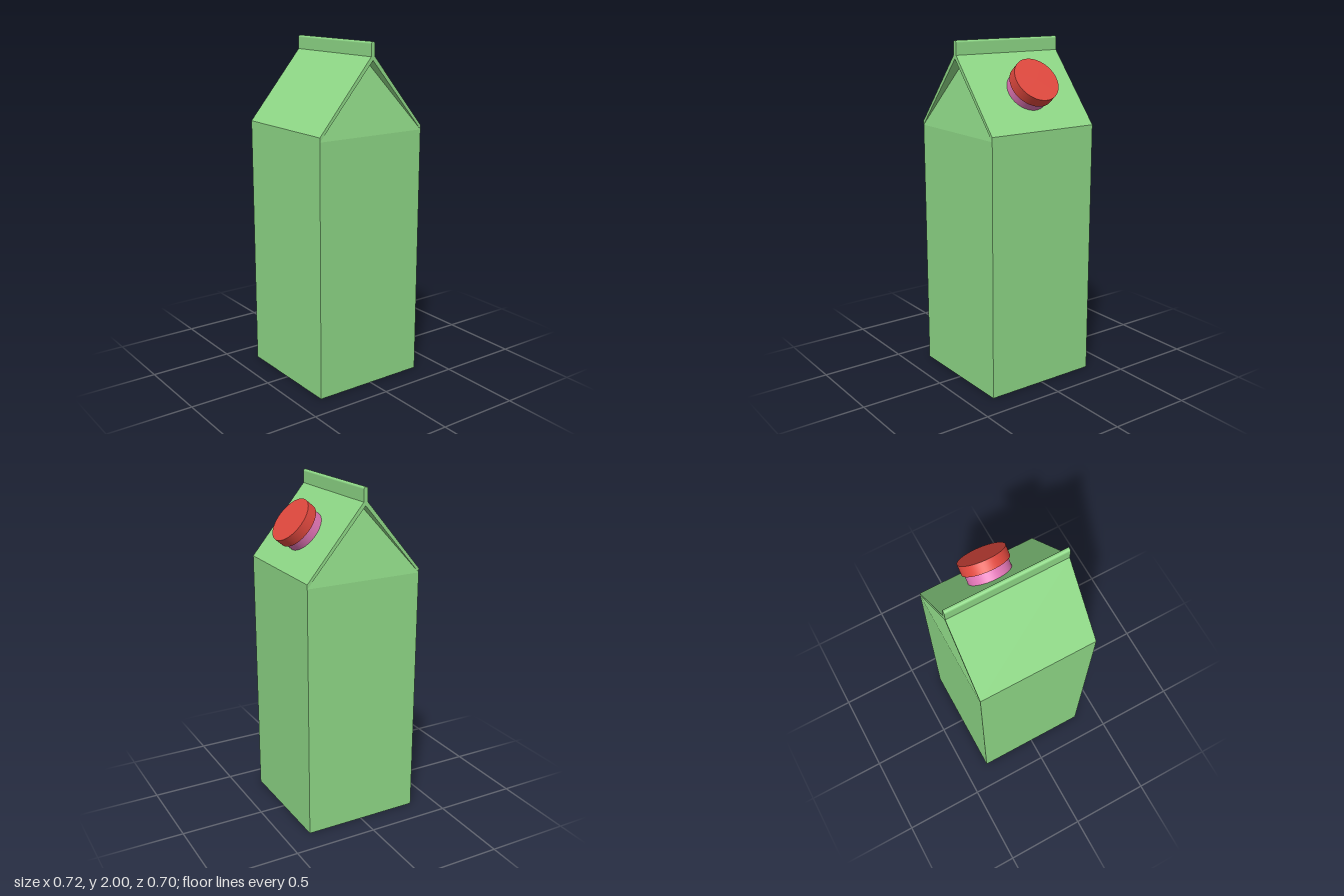
import * as THREE from 'three';

const HALF = 0.352;      // half width and depth of the carton
const EAVE = 1.515;      // outer eave height
const GABLE = 1.49;      // height where the gable ends begin
const RIDGE = 1.92;      // foot of the top seal
const FIN = 0.0125;      // half thickness of the top seal

const material = (color, side = THREE.FrontSide) => new THREE.MeshStandardMaterial({ color, side });

function part(name, geometry, mat) {
  const mesh = new THREE.Mesh(geometry, mat);
  mesh.name = name;
  return mesh;
}

// Folded roof panels and rounded top seal, one profile running front to back
function roofGeometry() {
  const s = new THREE.Shape();
  s.moveTo(-HALF, GABLE);
  s.lineTo(0, 1.9);
  s.lineTo(HALF, GABLE);
  s.lineTo(HALF, EAVE);
  s.lineTo(FIN, RIDGE);
  s.lineTo(FIN, 2 - FIN);
  s.absarc(0, 2 - FIN, FIN, 0, Math.PI, false);
  s.lineTo(-FIN, RIDGE);
  s.lineTo(-HALF, EAVE);
  s.closePath();
  return new THREE.ExtrudeGeometry(s, { depth: 2 * HALF, bevelEnabled: false, curveSegments: 16 })
    .translate(0, 0, -HALF);
}

// Triangular end panel leaning inward beneath the roof
function gableGeometry() {
  const g = new THREE.BufferGeometry();
  g.setAttribute('position', new THREE.Float32BufferAttribute(
    [-HALF, GABLE, HALF, HALF, GABLE, HALF, 0, 1.9, HALF - 0.07], 3));
  g.computeVertexNormals();
  return g;
}

export function createModel() {
  const model = new THREE.Group();
  model.name = 'carton';
  const green = material(0x8fd987);

  const carton = new THREE.Group();
  carton.name = 'cartonBody';
  carton.position.x = -0.0065;
  model.add(carton);

  carton.add(part('walls', new THREE.BoxGeometry(2 * HALF, GABLE, 2 * HALF).translate(0, GABLE / 2, 0), green));
  carton.add(part('roof', roofGeometry(), green));
  const gableMat = material(0x8fd987, THREE.DoubleSide);
  ['frontGable', 'backGable'].forEach((name, i) => {
    const gable = part(name, gableGeometry(), gableMat);
    gable.rotation.y = i * Math.PI;
    carton.add(gable);
  });

  // Spout and screw cap, standing square to the right roof panel
  const spout = new THREE.Group();
  spout.name = 'spout';
  spout.position.set(0.177, 1.713, -0.003);
  spout.rotation.z = -Math.atan2(RIDGE - EAVE, HALF - FIN);
  spout.add(part('neck', new THREE.CylinderGeometry(0.125, 0.125, 0.08, 64).translate(0, 0.03, 0), material(0xe075b5)));
  spout.add(part('cap', new THREE.CylinderGeometry(0.138, 0.138, 0.062, 64).translate(0, 0.09, 0), material(0xe0483e)));
  model.add(spout);

  return model;
}
